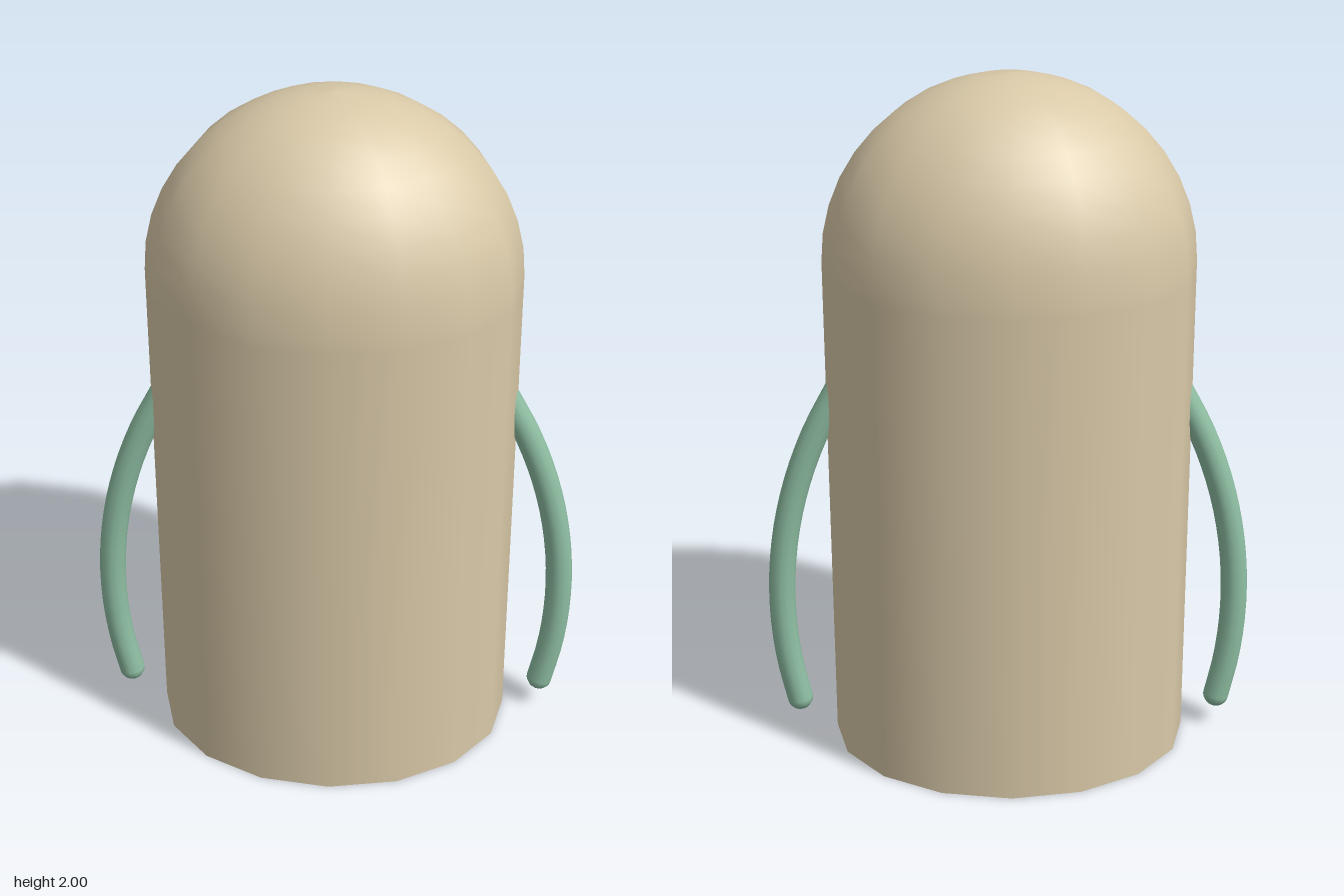
import * as THREE from 'three';

const bodyMat = new THREE.MeshStandardMaterial({ color: 0xd9c9a8, side: THREE.DoubleSide });
bodyMat.name = 'warm beige';
const armMat = new THREE.MeshStandardMaterial({ color: 0x8fbfa3 });
armMat.name = 'soft green';

// Hollow domed shell, open at the bottom, with an oval 16-sided section
function makeBody() {
  const domeBase = 1.47, steps = 10;
  const profile = [new THREE.Vector2(1, 0), new THREE.Vector2(1, domeBase - 0.03)];
  for (let i = 0; i <= steps; i++) {
    const a = (i / steps) * Math.PI / 2;
    profile.push(new THREE.Vector2(i === steps ? 0 : Math.cos(a), domeBase + 0.53 * Math.sin(a)));
  }
  const geo = new THREE.LatheGeometry(profile, 16);
  geo.scale(0.524, 1, 0.43);
  const body = new THREE.Mesh(geo, bodyMat);
  body.name = 'body';
  body.position.x = -0.003;
  return body;
}

// Thin bowed arm following a circular arc, with rounded ends
function makeArm(side) {
  const arm = new THREE.Group();
  arm.name = side > 0 ? 'leftArm' : 'rightArm';
  const radius = 0.039, bow = 1.31, points = [];
  for (let i = 0; i <= 8; i++) {
    const y = 0.097 + (1.09 - 0.097) * i / 8;
    const x = -0.638 + Math.sqrt(bow * bow - (y - 0.42) ** 2);
    points.push(new THREE.Vector3(side * x, y, 0));
  }
  const tube = new THREE.Mesh(
    new THREE.TubeGeometry(new THREE.CatmullRomCurve3(points), 20, radius, 12), armMat);
  tube.name = 'armTube';
  arm.add(tube);
  for (const [name, p] of [['handTip', points[0]], ['shoulder', points[8]]]) {
    const cap = new THREE.Mesh(new THREE.SphereGeometry(radius, 12, 10), armMat);
    cap.name = name;
    cap.position.copy(p);
    arm.add(cap);
  }
  return arm;
}

export function createModel() {
  const model = new THREE.Group();
  model.name = 'domedFigure';
  model.add(makeBody(), makeArm(1), makeArm(-1));
  return model;
}
